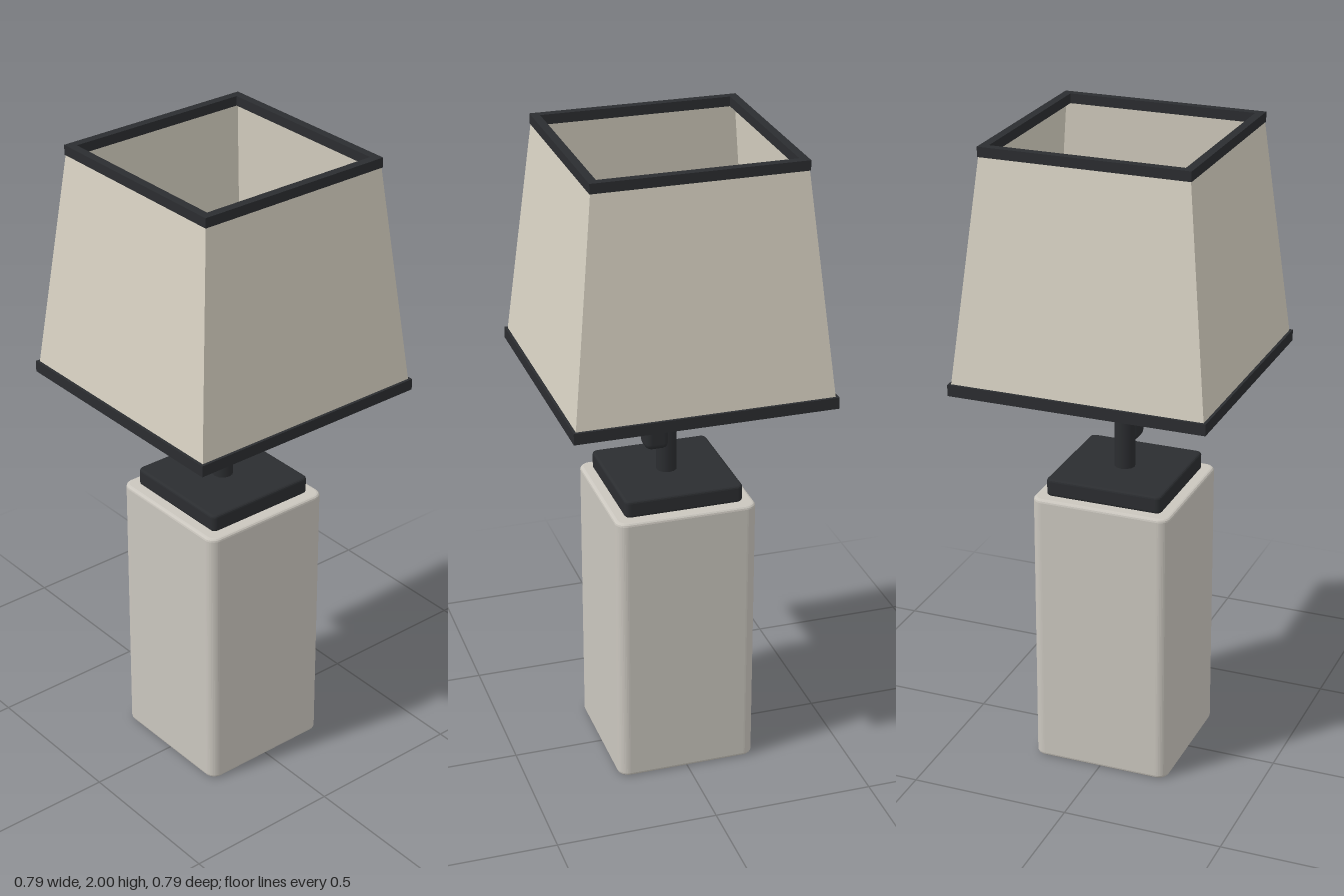
import * as THREE from 'three';
import { RoundedBoxGeometry } from 'three/addons/geometries/RoundedBoxGeometry.js';

const mat = (color, extra = {}) => {
  const m = new THREE.MeshStandardMaterial({ color });
  return Object.assign(m, extra);
};

// square outline with rounded corners
function squareShape(h, r) {
  const s = new THREE.Shape();
  [[1, 1], [-1, 1], [-1, -1], [1, -1]].forEach(([sx, sy], i) => {
    s.absarc(sx * (h - r), sy * (h - r), r, i * Math.PI / 2, (i + 1) * Math.PI / 2);
  });
  s.closePath();
  return s;
}

// upright block with rounded corners and softly bevelled top and bottom
function block(half, radius, bevel, y0, y1) {
  const g = new THREE.ExtrudeGeometry(squareShape(half - bevel, radius - bevel), {
    depth: y1 - y0 - 2 * bevel, bevelThickness: bevel, bevelSize: bevel, bevelSegments: 3, curveSegments: 5,
  });
  return g.rotateX(-Math.PI / 2).translate(0, y0 + bevel, 0);
}

// flat square trim ring
function trim(outer, inner, y0, y1) {
  const square = (h) => [[h, h], [-h, h], [-h, -h], [h, -h]].map(([x, y]) => new THREE.Vector2(x, y));
  const s = new THREE.Shape(square(outer));
  s.holes.push(new THREE.Path(square(inner)));
  const g = new THREE.ExtrudeGeometry(s, { depth: y1 - y0, bevelEnabled: false });
  return g.rotateX(-Math.PI / 2).translate(0, y0, 0);
}

const cylinder = (rTop, rBottom, y0, y1, sides) =>
  new THREE.CylinderGeometry(rTop, rBottom, y1 - y0, sides).translate(0, (y0 + y1) / 2, 0);

export function createModel() {
  const lamp = new THREE.Group();
  lamp.name = 'tableLamp';
  const stone = mat(0xcac6be);
  const dark = mat(0x2b2d30);
  const fabric = mat(0xd8d2c3, { side: THREE.DoubleSide, flatShading: true });
  const glow = mat(0xe6d9ba);
  const add = (name, geometry, material) => {
    const m = new THREE.Mesh(geometry, material);
    m.name = name;
    lamp.add(m);
    return m;
  };

  // base
  add('baseBlock', block(0.22, 0.035, 0.01, 0, 0.89), stone);
  add('capPlate', block(0.185, 0.018, 0.008, 0.89, 0.945), dark);

  // stem, switch and socket
  add('stem', cylinder(0.032, 0.032, 0.94, 1.27, 12), dark);
  add('switchHousing', new RoundedBoxGeometry(0.074, 0.11, 0.075, 2, 0.02).translate(0, 1.08, 0.037), dark);
  add('socketCollar', cylinder(0.06, 0.055, 1.245, 1.3, 16), dark);
  add('socket', cylinder(0.045, 0.045, 1.29, 1.4, 16), dark);

  // bulb
  add('bulb', new THREE.SphereGeometry(0.11, 14, 10).rotateY(Math.PI / 2).translate(0, 1.48, 0), glow);

  // shade: four sloping panels, diffuser floor and dark trims
  const d = Math.SQRT2;
  add('shade', new THREE.CylinderGeometry(0.315 * d, 0.39 * d, 0.7, 4, 1, true)
    .rotateY(Math.PI / 4).translate(0, 1.635, 0), fabric);
  add('diffuser', new THREE.BoxGeometry(0.76, 0.01, 0.76).translate(0, 1.285, 0), mat(0xddd0b3));
  add('topTrim', trim(0.319, 0.293, 1.97, 2), dark);
  add('bottomTrim', trim(0.397, 0.37, 1.265, 1.3), dark);

  return lamp;
}
